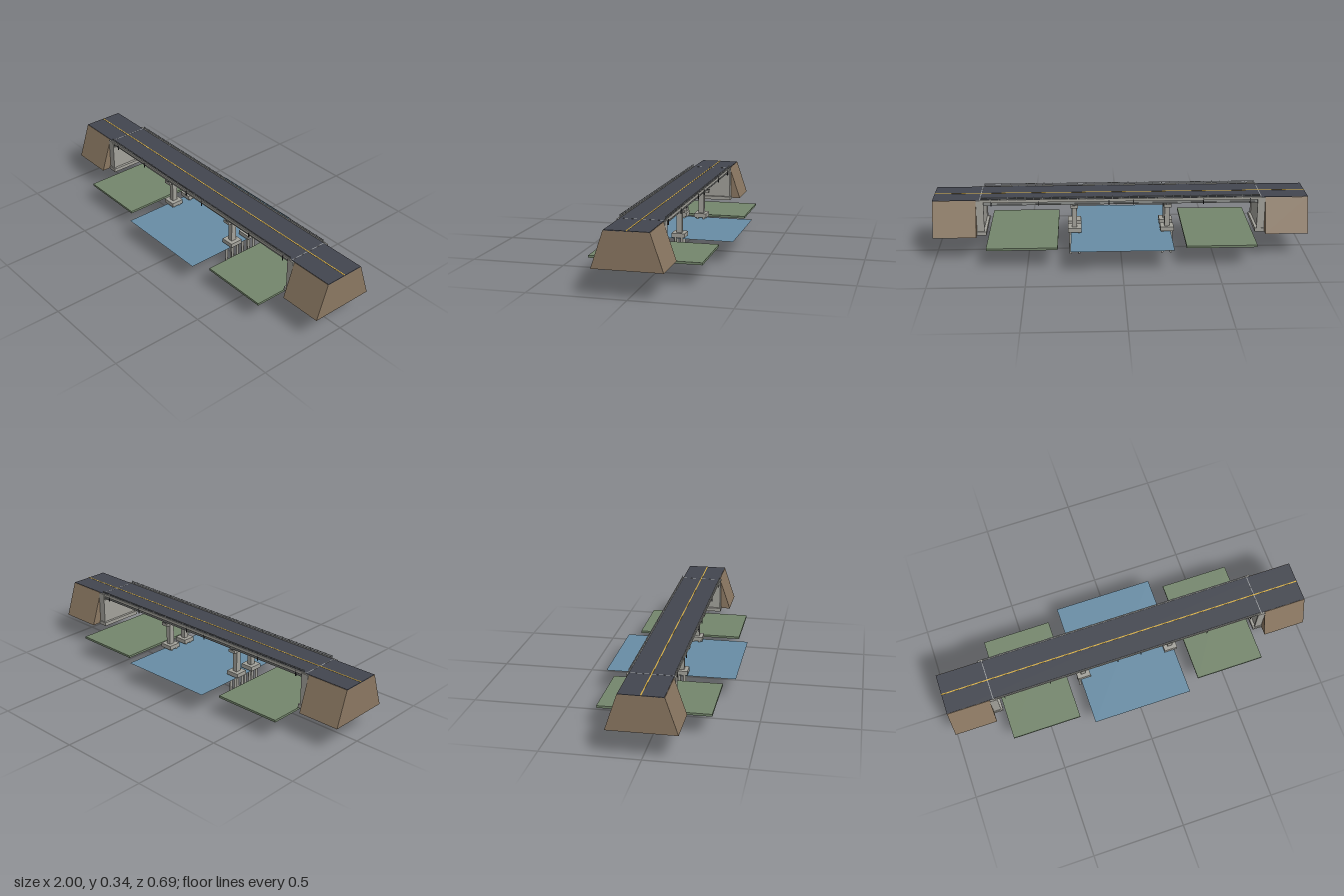
import * as THREE from 'three';

const material = (name, color, side = THREE.FrontSide) => {
  const m = new THREE.MeshStandardMaterial({ color, side });
  m.name = name;
  return m;
};

export function createModel() {
  const model = new THREE.Group();
  model.name = 'bridge';
  const concrete = material('concrete', 0xa3a29b);
  const steel = material('railing steel', 0x9a9d9f);
  const girderGrey = material('girder grey', 0x8d8f8d);
  const dark = material('drain dark', 0x2c2e30);
  const asphalt = material('asphalt', 0x43464f);
  const yellow = material('line yellow', 0xd6ae45);
  const earth = material('earth', 0x8b7862);
  const grass = material('grass', 0x74866c);
  const water = material('water', 0x688da5, THREE.DoubleSide);

  const add = (name, geometry, mat, parent = model) => {
    const mesh = new THREE.Mesh(geometry, mat);
    mesh.name = name;
    parent.add(mesh);
    return mesh;
  };
  // Box given by its lower and upper limits on each axis
  const box = (name, [x0, x1], [y0, y1], [z0, z1], mat, parent = model) => {
    const mesh = add(name, new THREE.BoxGeometry(Math.abs(x1 - x0), y1 - y0, Math.abs(z1 - z0)), mat, parent);
    mesh.position.set((x0 + x1) / 2, (y0 + y1) / 2, (z0 + z1) / 2);
    return mesh;
  };

  // Roadway, joints and centre line
  box('roadway', [-1, 1], [0.323, 0.327], [-0.11, 0.11], asphalt);
  box('centreLine', [-1, 1], [0.327, 0.328], [-0.003, 0.003], yellow);
  box('deckSlab', [-0.75, 0.75], [0.313, 0.323], [-0.114, 0.114], concrete);

  // I-shaped girders running the full span
  for (const z of [-0.09, -0.045, 0, 0.045, 0.09]) {
    const girder = new THREE.Group();
    girder.name = 'girder';
    model.add(girder);
    box('web', [-0.745, 0.745], [0.297, 0.313], [z - 0.004, z + 0.004], girderGrey, girder);
    box('bottomFlange', [-0.745, 0.745], [0.292, 0.298], [z - 0.009, z + 0.009], girderGrey, girder);
  }
  for (const x of [-0.5, -0.25, 0, 0.25, 0.5])
    box('crossBeam', [x - 0.004, x + 0.004], [0.298, 0.313], [-0.09, 0.09], girderGrey);

  // Kerbs, railings and drains on both edges
  for (const s of [-1, 1]) {
    box('kerb', [-0.75, 0.75], [0.323, 0.329], [s * 0.11, s * 0.115], concrete);
    for (const y of [0.334, 0.341])
      box('rail', [-0.74, 0.74], [y - 0.0015, y + 0.0015], [s * 0.111, s * 0.113], steel);
    for (let i = 0; i <= 32; i++) {
      const x = -0.74 + i * 1.48 / 32;
      box('railPost', [x - 0.0018, x + 0.0018], [0.327, 0.344], [s * 0.1105, s * 0.1135], steel);
    }
    for (const x of [-0.69, -0.44, -0.065, 0.065, 0.44, 0.69])
      box('drain', [x - 0.002, x + 0.002], [0.293, 0.322], [s * 0.111, s * 0.1155], dark);
  }

  for (const s of [-1, 1]) {
    // Piers: twin columns on piled footings, joined by a cap
    const pier = new THREE.Group();
    pier.name = 'pier';
    pier.position.x = s * 0.25;
    model.add(pier);
    box('pierCap', [-0.02, 0.02], [0.27, 0.286], [-0.1, 0.1], concrete, pier);
    for (const z of [-0.09, -0.045, 0, 0.045, 0.09])
      box('bearing', [-0.008, 0.008], [0.286, 0.292], [z - 0.008, z + 0.008], dark, pier);
    for (const side of [-1, 1]) {
      const zc = side * 0.057;
      box('column', [-0.013, 0.013], [0.15, 0.27], [zc - 0.015, zc + 0.015], concrete, pier);
      box('footing', [-0.036, 0.036], [0.13, 0.153], [zc - 0.035, zc + 0.035], concrete, pier);
      for (const px of [-0.024, 0.024]) for (const pz of [0.04, 0.074]) {
        const pile = add('pile', new THREE.CylinderGeometry(0.007, 0.007, 0.13, 16), concrete, pier);
        pile.position.set(px, 0.065, side * pz);
      }
    }

    // Abutment with back wall, wing walls and approach slab
    const abutment = new THREE.Group();
    abutment.name = 'abutment';
    model.add(abutment);
    box('abutmentFooting', [s * 0.72, s * 0.775], [0.133, 0.153], [-0.125, 0.125], concrete, abutment);
    box('abutmentStem', [s * 0.735, s * 0.77], [0.153, 0.288], [-0.115, 0.115], concrete, abutment);
    box('backWall', [s * 0.751, s * 0.77], [0.288, 0.3235], [-0.115, 0.115], concrete, abutment);
    box('approachSlab', [s * 0.77, s * 0.86], [0.315, 0.3235], [-0.1125, 0.1125], concrete, abutment);
    box('expansionJoint', [s * 0.748, s * 0.752], [0.3265, 0.3275], [-0.11, 0.11], steel, abutment);
    for (const z of [-0.09, -0.045, 0, 0.045, 0.09])
      box('bearing', [s * 0.737, s * 0.749], [0.286, 0.292], [z - 0.008, z + 0.008], dark, abutment);
    for (const w of [-1, 1])
      box('wingWall', [s * 0.73, s * 0.77], [0.153, 0.326], [w * 0.112, w * 0.12], concrete, abutment);

    // Earth embankment with sloping sides
    const section = new THREE.Shape([
      new THREE.Vector2(-0.175, 0.139), new THREE.Vector2(0.175, 0.139),
      new THREE.Vector2(0.112, 0.325), new THREE.Vector2(-0.112, 0.325),
    ]);
    const bank = add('embankment', new THREE.ExtrudeGeometry(section, { depth: 0.23, bevelEnabled: false }), earth);
    bank.rotation.y = Math.PI / 2;
    bank.position.x = s > 0 ? 0.77 : -1;

    // Grassy bank beside the river
    box('grassBank', [s * 0.338, s * 0.711], [0.11, 0.122], [-0.287, 0.287], grass);
  }

  // River surface
  const river = add('river', new THREE.PlaneGeometry(0.54, 0.69), water);
  river.rotation.x = -Math.PI / 2;
  river.position.y = 0.122;

  return model;
}
